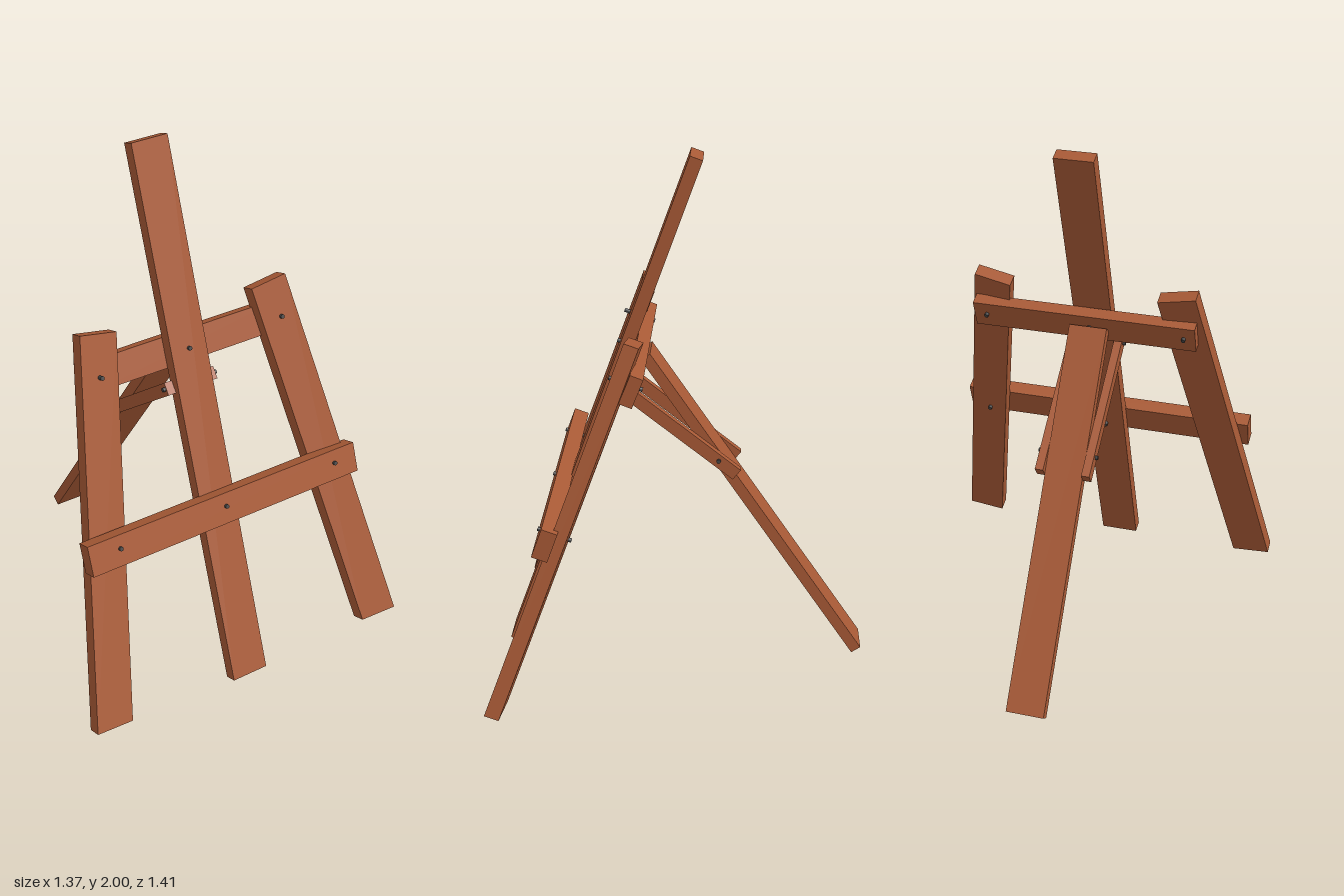
import * as THREE from 'three';

const wood = new THREE.MeshStandardMaterial({ color: 0xa85a36, flatShading: true });
const metal = new THREE.MeshStandardMaterial({ color: 0x444444 });
const POST_X = -0.017; // the centre post sits slightly off centre

// Straight plank in the side plane: runs from a to b, both [z, y], between x0 and x1
function plank(name, a, b, thickness, x0, x1) {
  const dz = b[0] - a[0], dy = b[1] - a[1];
  const mesh = new THREE.Mesh(new THREE.BoxGeometry(x1 - x0, Math.hypot(dz, dy), thickness), wood);
  mesh.name = name;
  mesh.position.set((x0 + x1) / 2, (a[1] + b[1]) / 2, (a[0] + b[0]) / 2);
  mesh.rotation.x = Math.atan2(dz, dy);
  return mesh;
}

// Splayed leg: four front corners (-x then +x), pushed back by the plank's depth
function splayedLeg(name, bottom, top) {
  const back = new THREE.Vector3(0, -0.019, -0.053);
  const geo = new THREE.BoxGeometry(1, 1, 1);
  const p = geo.attributes.position, v = new THREE.Vector3();
  for (let i = 0; i < p.count; i++) {
    v.fromArray((p.getY(i) > 0 ? top : bottom)[p.getX(i) > 0 ? 1 : 0]);
    if (p.getZ(i) < 0) v.add(back);
    p.setXYZ(i, v.x, v.y, v.z);
  }
  geo.computeVertexNormals();
  const mesh = new THREE.Mesh(geo, wood);
  mesh.name = name;
  return mesh;
}

// Round bolt between two points
function bolt(name, from, to) {
  const a = new THREE.Vector3(...from), b = new THREE.Vector3(...to);
  const dir = b.clone().sub(a);
  const mesh = new THREE.Mesh(new THREE.CylinderGeometry(0.008, 0.008, dir.length(), 16), metal);
  mesh.name = name;
  mesh.position.copy(a).add(b).multiplyScalar(0.5);
  mesh.quaternion.setFromUnitVectors(new THREE.Vector3(0, 1, 0), dir.normalize());
  return mesh;
}

export function createModel() {
  const group = new THREE.Group();
  group.name = 'easel';

  // Leaning post and hinged rear leg
  group.add(plank('centrePost', [0.666, 0.031], [-0.049, 1.991], 0.05, POST_X - 0.075, POST_X + 0.075));
  group.add(plank('rearLeg', [-0.69, 0.012], [0.14, 1.238], 0.042, POST_X - 0.074, POST_X + 0.074));

  // Splayed front legs
  group.add(splayedLeg('rightLeg',
    [[-0.685, 0.058, 0.67], [-0.535, 0.05, 0.67]],
    [[-0.432, 1.43, 0.175], [-0.285, 1.402, 0.178]]));
  group.add(splayedLeg('leftLeg',
    [[0.53, 0.05, 0.69], [0.68, 0.058, 0.703]],
    [[0.296, 1.396, 0.183], [0.441, 1.422, 0.191]]));

  // Crossbar behind the legs and canvas rest in front
  group.add(plank('topCrossbar', [0.188, 1.19], [0.146, 1.298], 0.05, -0.432, 0.447));
  group.add(plank('canvasRest', [0.493, 0.651], [0.453, 0.761], 0.061, -0.6, 0.586));

  // Pair of struts either side of the rear leg
  for (const side of [-1, 1]) {
    const x = POST_X + side * 0.091;
    group.add(plank(side < 0 ? 'rightStrut' : 'leftStrut',
      [-0.207, 0.778], [0.255, 1.143], 0.049, x - 0.016, x + 0.016));
  }

  // Pivot pins through the struts
  for (const [z, y] of [[0.245, 1.137], [-0.138, 0.835]]) {
    group.add(bolt('pivotPin', [-0.135, y, z], [0.099, y, z]));
  }

  // Bolts through the crossbar and canvas rest
  for (const x of [-0.387, POST_X, 0.396]) {
    group.add(bolt('crossbarBolt', [x, 1.279, 0.249], [x, 1.235, 0.129]));
  }
  for (const x of [-0.475, POST_X, 0.485]) {
    group.add(bolt('restBolt', [x, 0.727, 0.508], [x, 0.681, 0.386]));
  }
  return group;
}
